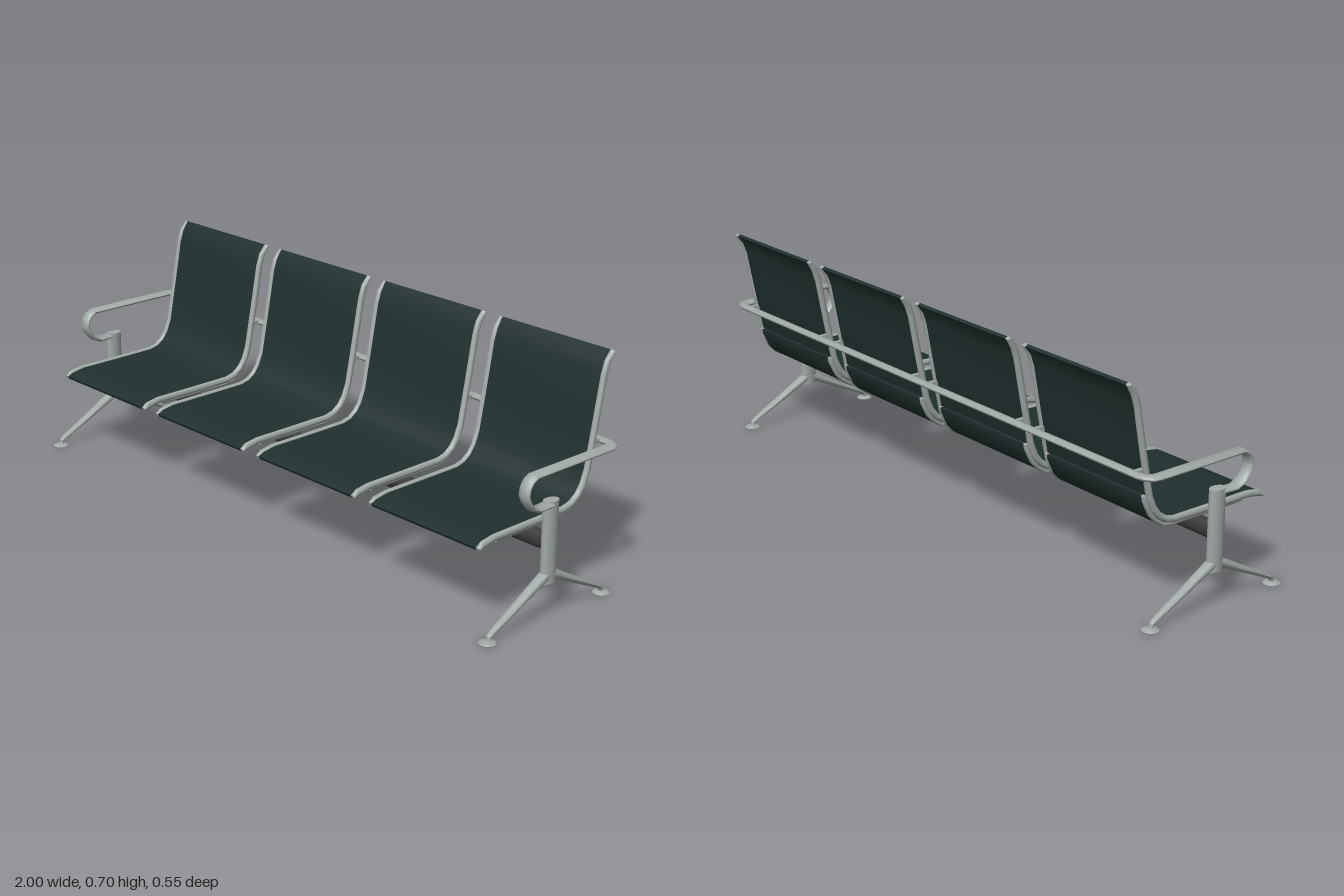
import * as THREE from 'three';
import { toCreasedNormals } from 'three/addons/utils/BufferGeometryUtils.js';

const metal = new THREE.MeshStandardMaterial({ color: 0xa0a8a6 });
metal.name = 'silver metal';
const fabric = new THREE.MeshStandardMaterial({ color: 0x20302f });
fabric.name = 'dark green upholstery';
const steel = new THREE.MeshStandardMaterial({ color: 0x3c3c3c });
steel.name = 'charcoal steel';

const V = (x, y, z) => new THREE.Vector3(x, y, z);
const alongX = () => V(1, 0, 0);

// Sweeps an oval (or, with 4 sides, rectangular) section along a polyline.
// size(i) gives [half width, half thickness]; wide(p, t) the width direction.
function sweep(points, size, wide = alongX, sides = 12, crease = 0.7) {
  const pos = [], index = [], n = points.length;
  const turn = sides === 4 ? Math.PI / 4 : 0;
  const grow = sides === 4 ? Math.SQRT2 : 1;
  points.forEach((p, i) => {
    const back = p.clone().sub(points[Math.max(i - 1, 0)]).normalize();
    const ahead = points[Math.min(i + 1, n - 1)].clone().sub(p).normalize();
    const t = back.add(ahead).normalize();
    const w = wide(p, t), u = t.clone().cross(w).normalize();
    const [a, b] = size(i);
    for (let j = 0; j < sides; j++) {
      const q = (j / sides) * Math.PI * 2 + turn;
      const v = p.clone().addScaledVector(w, Math.cos(q) * a * grow).addScaledVector(u, Math.sin(q) * b * grow);
      pos.push(v.x, v.y, v.z);
    }
  });
  for (let i = 0; i < n - 1; i++) {
    for (let j = 0; j < sides; j++) {
      const k = (j + 1) % sides, a = i * sides, b = a + sides;
      index.push(a + j, a + k, b + j, a + k, b + k, b + j);
    }
  }
  const last = (n - 1) * sides;
  for (let j = 1; j < sides - 1; j++) {
    index.push(0, j + 1, j, last, last + j, last + j + 1);
  }
  const g = new THREE.BufferGeometry();
  g.setAttribute('position', new THREE.Float32BufferAttribute(pos, 3));
  g.setIndex(index);
  return toCreasedNormals(g, crease);
}

function add(parent, name, geometry, material, x = 0, y = 0, z = 0) {
  const m = new THREE.Mesh(geometry, material);
  m.name = name;
  m.position.set(x, y, z);
  parent.add(m);
  return m;
}

const profile = (list) => list.map(([z, y]) => V(0, y, z));

// Side profile of the seat and backrest, from front lip to top
const seatPath = profile([
  [0.25, 0.255], [0.232, 0.264], [0.19, 0.271], [0.05, 0.2715], [-0.09, 0.273], [-0.122, 0.281],
  [-0.148, 0.299], [-0.168, 0.325], [-0.184, 0.365], [-0.211, 0.5], [-0.236, 0.63],
  [-0.248, 0.665], [-0.268, 0.693],
]);
// Support pan under the seat
const panPath = profile([
  [0.172, 0.257], [-0.088, 0.257], [-0.122, 0.264], [-0.148, 0.281],
  [-0.169, 0.303], [-0.191, 0.349], [-0.193, 0.363],
]);

function makeSeat(x) {
  const seat = new THREE.Group();
  seat.name = 'seat';
  seat.position.x = x;
  const end = seatPath.length - 1;
  const railGeo = sweep(seatPath, (i) => [0.009, i === 0 || i === end ? 0.006 : 0.0105]);
  const braceGeo = sweep(panPath, () => [0.008, 0.007]);
  for (const s of [-1, 1]) {
    add(seat, 'seatRail', railGeo, metal, s * 0.205);
    add(seat, 'seatBrace', braceGeo, metal, s * 0.195);
    // Clip joining the backrest rail to the rear bar
    add(seat, 'barClip', new THREE.BoxGeometry(0.014, 0.014, 0.035), metal, s * 0.2, 0.439, -0.218);
  }
  add(seat, 'seatUpholstery', sweep(seatPath, () => [0.199, 0.005], alongX, 4), fabric);
  add(seat, 'seatPan', sweep(panPath, () => [0.19, 0.005], alongX, 4), fabric);
  return seat;
}

// Armrests and rear bar as one continuous flattened tube
function makeArmBar() {
  const half = [
    [0.98, 0.34, 0.03], [0.98, 0.338, 0.08], [0.98, 0.35, 0.107], [0.98, 0.372, 0.125], [0.98, 0.393, 0.133],
    [0.98, 0.413, 0.129], [0.98, 0.429, 0.118], [0.98, 0.439, 0.1], [0.98, 0.439, -0.205],
    [0.976, 0.439, -0.222], [0.964, 0.439, -0.234], [0.945, 0.439, -0.239],
  ].map((p) => V(...p));
  const path = [...half, ...half.map((p) => V(-p.x, p.y, p.z)).reverse()];
  const wide = (p, t) => (p.z > -0.15 ? V(Math.sign(p.x), 0, 0) : t.clone().cross(V(0, 1, 0)).normalize());
  return sweep(path, (i) => [path[i].z < -0.23 ? 0.0145 : 0.0195, 0.0085], wide, 14);
}

function makeLegFrame(x) {
  const frame = new THREE.Group();
  frame.name = 'legFrame';
  frame.position.set(x, 0, 0.021);
  const column = new THREE.CylinderGeometry(1, 1, 0.241, 24).scale(0.018, 1, 0.027);
  add(frame, 'column', column, metal, 0, 0.2285, 0);
  const legPath = profile([[0.01, 0.132], [0.028, 0.123], [0.12, 0.075], [0.218, 0.026], [0.229, 0.018], [0.232, 0.005]]);
  const halves = [[0.017, 0.014], [0.017, 0.0135], [0.014, 0.01], [0.01, 0.007], [0.009, 0.007], [0.008, 0.006]];
  const legGeo = sweep(legPath, (i) => halves[i]);
  const footGeo = new THREE.LatheGeometry(
    [[0, 0], [0.025, 0], [0.025, 0.002], [0.014, 0.007], [0, 0.009]].map(([r, y]) => new THREE.Vector2(r, y)), 20);
  for (const turn of [0, Math.PI]) {
    const side = new THREE.Group();
    side.name = turn ? 'rearLeg' : 'frontLeg';
    side.rotation.y = turn;
    add(side, 'leg', legGeo, metal);
    add(side, 'foot', footGeo, metal, 0, 0, 0.233);
    frame.add(side);
  }
  return frame;
}

export function createModel() {
  const bench = new THREE.Group();
  bench.name = 'bench';
  for (const x of [-0.722, -0.241, 0.241, 0.722]) bench.add(makeSeat(x));
  for (const x of [-0.977, 0.977]) bench.add(makeLegFrame(x));
  add(bench, 'armrestsAndRearBar', makeArmBar(), metal);
  // Oval beam carrying the seats
  const beam = new THREE.CylinderGeometry(1, 1, 1.94, 24).rotateZ(Math.PI / 2).scale(1, 0.027, 0.02);
  add(bench, 'beam', beam, steel, 0, 0.224, 0.019);
  return bench;
}
